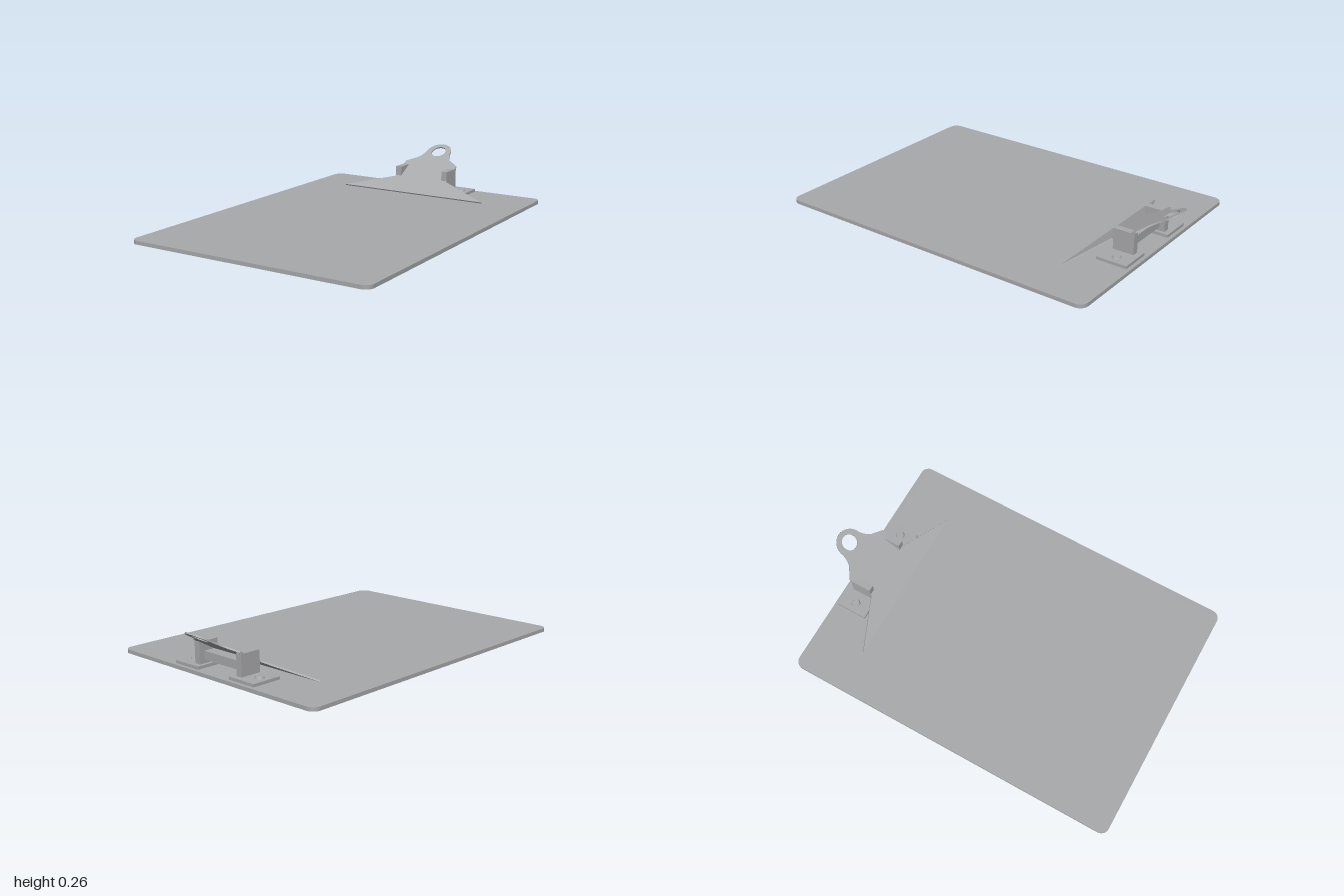
import * as THREE from 'three';

export function createModel() {
  const model = new THREE.Group();
  model.name = 'clipboard';
  const grey = new THREE.MeshStandardMaterial({ color: 0xa8a9ab });
  grey.name = 'grey';

  const add = (name, geometry, x = 0, y = 0, z = 0) => {
    const mesh = new THREE.Mesh(geometry, grey);
    mesh.name = name;
    mesh.position.set(x, y, z);
    model.add(mesh);
    return mesh;
  };
  // Box given by its lowest and highest corner
  const box = (name, x0, x1, y0, y1, z0, z1) =>
    add(name, new THREE.BoxGeometry(x1 - x0, y1 - y0, z1 - z0),
      (x0 + x1) / 2, (y0 + y1) / 2, (z0 + z1) / 2);

  // Board with rounded corners; shape y runs towards the back
  const w = 0.69, back = 0.88, front = -1, r = 0.045;
  const outline = new THREE.Shape();
  outline.absarc(w - r, front + r, r, -Math.PI / 2, 0);
  outline.absarc(w - r, back - r, r, 0, Math.PI / 2);
  outline.absarc(-w + r, back - r, r, Math.PI / 2, Math.PI);
  outline.absarc(-w + r, front + r, r, Math.PI, Math.PI * 1.5);
  const board = add('board', new THREE.ExtrudeGeometry(outline,
    { depth: 0.02, bevelEnabled: false, curveSegments: 8 }));
  board.rotation.x = -Math.PI / 2;

  // Sloping clip plate with a hanging hole
  const plate = new THREE.Shape();
  plate.moveTo(-0.453, 0);
  plate.lineTo(0.453, 0);
  plate.lineTo(0.17, 0.13);
  plate.lineTo(0.17, 0.277);
  plate.lineTo(0.113, 0.317);
  plate.quadraticCurveTo(0.09, 0.335, 0.079, 0.383);
  plate.absarc(0, 0.383, 0.079, 0, Math.PI);
  plate.quadraticCurveTo(-0.09, 0.335, -0.113, 0.317);
  plate.lineTo(-0.17, 0.277);
  plate.lineTo(-0.17, 0.13);
  const hole = new THREE.Path();
  hole.absarc(0, 0.39, 0.044, 0, Math.PI * 2, true);
  plate.holes.push(hole);
  const clip = add('clipPlate', new THREE.ExtrudeGeometry(plate,
    { depth: 0.008, bevelEnabled: false, curveSegments: 16 }), 0, 0.022, -0.597);
  clip.rotation.x = THREE.MathUtils.degToRad(29.3) - Math.PI / 2;

  // Mounting feet, posts and rivets on both sides
  for (const s of [-1, 1]) {
    const span = (a, b) => (s > 0 ? [a, b] : [-b, -a]);
    box('mountingFoot', ...span(0.115, 0.285), 0.02, 0.036, -0.86, -0.69);
    box('post', ...span(0.135, 0.17), 0.036, 0.15, -0.83, -0.713);
    add('rivet', new THREE.CylinderGeometry(0.02, 0.024, 0.01, 20), s * 0.235, 0.041, -0.775);
  }

  // Bar joining the posts under the plate
  box('crossBar', -0.135, 0.135, 0.055, 0.1, -0.8, -0.735);

  return model;
}
